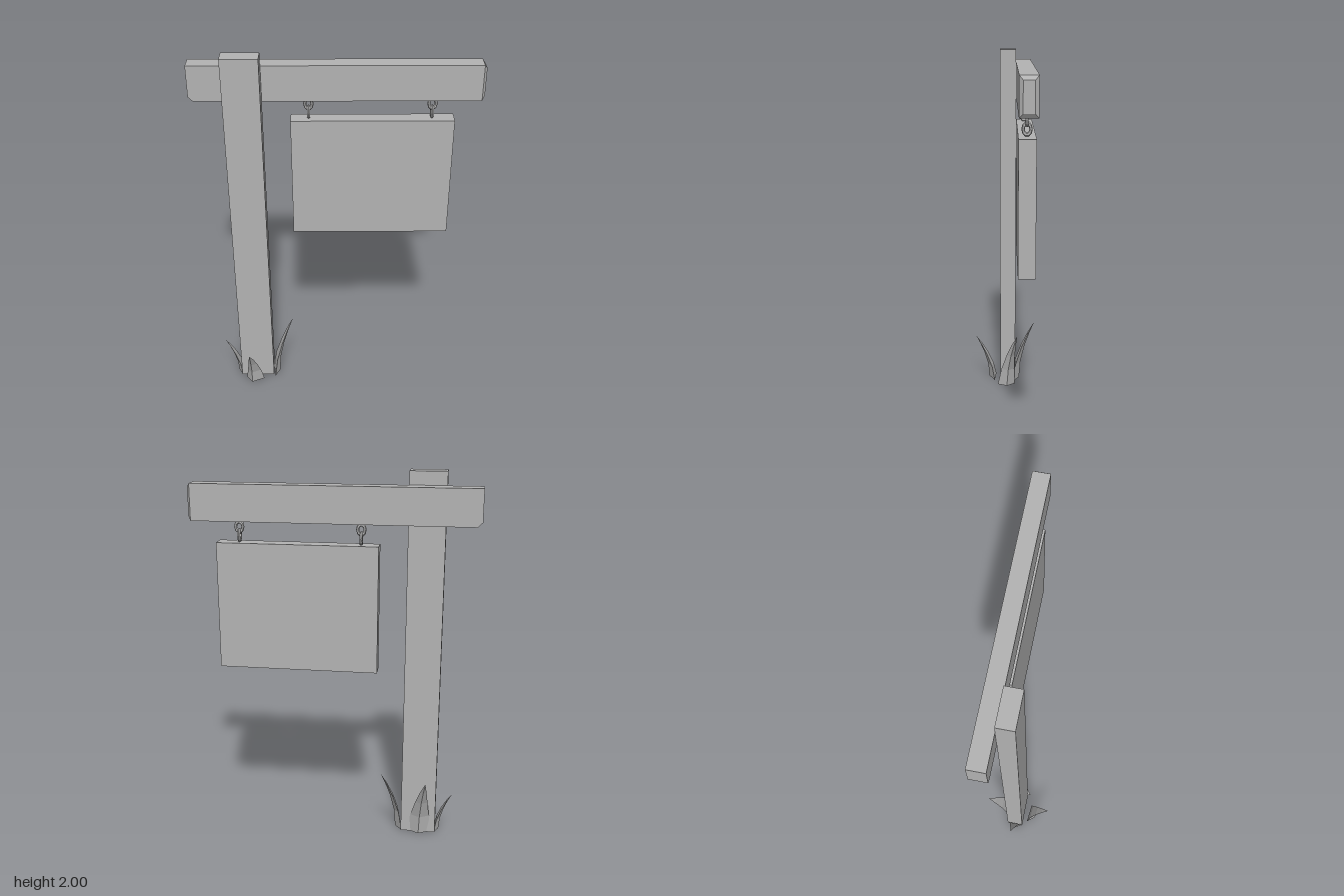
import * as THREE from 'three';
import { ConvexGeometry } from 'three/addons/geometries/ConvexGeometry.js';

const grey = new THREE.MeshStandardMaterial({ color: 0xb3b3b3, flatShading: true });
grey.name = 'plain grey';

function add(group, name, geometry) {
  const mesh = new THREE.Mesh(geometry, grey);
  mesh.name = name;
  group.add(mesh);
  return mesh;
}

// Box given by its minimum and maximum corners
function block(x0, x1, y0, y1, z0, z1) {
  return new THREE.BoxGeometry(x1 - x0, y1 - y0, z1 - z0)
    .translate((x0 + x1) / 2, (y0 + y1) / 2, (z0 + z1) / 2);
}

// Bent blade: a triangular section that shrinks while it sweeps out to the tip.
// Corners are [x, z], running left, right, ridge as seen from outside.
function bladeGeometry(corners, tip) {
  const cx = corners.reduce((s, c) => s + c[0], 0) / 3;
  const cz = corners.reduce((s, c) => s + c[1], 0) / 3;
  const levels = [0, 0.3, 0.58, 0.8];
  const rings = levels.map((t) => corners.map(([x, z]) => {
    const k = Math.pow(1 - t, 0.85), out = Math.pow(t, 1.7);
    return [
      cx + (x - cx) * k + (tip[0] - cx) * out,
      tip[1] * t,
      cz + (z - cz) * k + (tip[2] - cz) * out,
    ];
  }));
  const pos = [];
  const tri = (a, b, c) => pos.push(...a, ...b, ...c);
  for (let i = 0; i < 3; i++) {
    const j = (i + 1) % 3;
    for (let r = 0; r < rings.length - 1; r++) {
      const a = rings[r][i], b = rings[r][j], c = rings[r + 1][j], d = rings[r + 1][i];
      tri(a, c, b);
      tri(a, d, c);
    }
    const top = rings[rings.length - 1];
    tri(top[i], tip, top[j]);
  }
  tri(rings[0][0], rings[0][1], rings[0][2]);
  const g = new THREE.BufferGeometry();
  g.setAttribute('position', new THREE.Float32BufferAttribute(pos, 3));
  g.computeVertexNormals();
  return g;
}

export function createModel() {
  const model = new THREE.Group();
  model.name = 'hangingSignpost';

  add(model, 'post', block(-0.57, -0.38, 0, 2, -0.06, 0.03));
  add(model, 'signBoard', block(-0.24, 0.6, 0.96, 1.63, -0.145, -0.06));

  // Beam: lower edge cut at the left end, all edges bevelled at the right end
  const points = [];
  for (const z of [-0.15, -0.06]) {
    for (const [x, y] of [[-0.75, 1.93], [-0.75, 1.765], [-0.725, 1.74], [0.728, 1.74], [0.728, 1.93]]) {
      points.push(new THREE.Vector3(x, y, z));
    }
  }
  for (const z of [-0.132, -0.078]) {
    for (const y of [1.762, 1.908]) points.push(new THREE.Vector3(0.743, y, z));
  }
  add(model, 'beam', new ConvexGeometry(points));

  // Two crossed links at each hanging point
  for (const x of [-0.147, 0.485]) {
    const chain = new THREE.Group();
    chain.name = 'chain';
    chain.position.set(x, 0, -0.102);
    for (const [name, y, turn] of [['upperLink', 1.709, 0], ['lowerLink', 1.664, Math.PI / 2]]) {
      const link = add(chain, name, new THREE.TorusGeometry(0.019, 0.008, 6, 10).scale(1, 1.4, 1));
      link.position.y = y;
      link.rotation.y = turn;
    }
    model.add(chain);
  }

  // Grass around the foot of the post
  const grass = new THREE.Group();
  grass.name = 'grass';
  const blades = {
    frontBlade: [[[-0.54, 0.055], [-0.435, 0.065], [-0.505, 0.098]], [-0.505, 0.265, 0.18]],
    rightBlade: [[[-0.37, 0.045], [-0.385, -0.06], [-0.345, -0.01]], [-0.26, 0.35, -0.07]],
    backBlade: [[[-0.41, -0.045], [-0.55, -0.045], [-0.48, -0.085]], [-0.515, 0.35, -0.178]],
    leftBlade: [[[-0.565, -0.055], [-0.565, 0.03], [-0.59, -0.01]], [-0.66, 0.225, -0.02]],
  };
  for (const [name, [corners, tip]] of Object.entries(blades)) {
    // Keep one winding for every section
    const [a, b, c] = corners;
    const cross = (b[0] - a[0]) * (c[1] - a[1]) - (b[1] - a[1]) * (c[0] - a[0]);
    add(grass, name, bladeGeometry(cross > 0 ? corners : [a, c, b], tip));
  }
  model.add(grass);
  return model;
}
